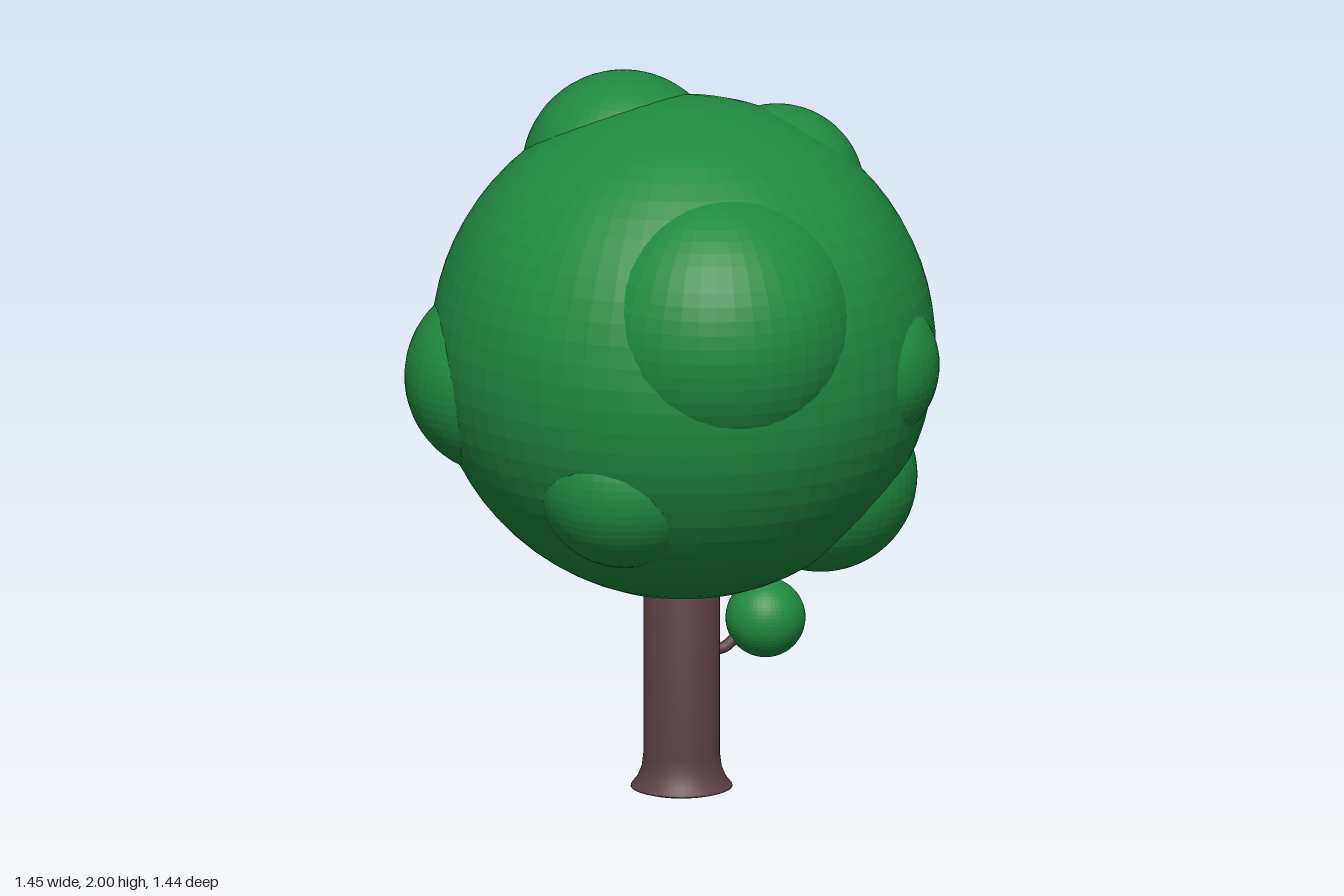
import * as THREE from 'three';

const leafMat = new THREE.MeshStandardMaterial({ color: 0x1f8a40, flatShading: true, side: THREE.DoubleSide });
const barkMat = new THREE.MeshStandardMaterial({ color: 0x5c4246, side: THREE.DoubleSide });

function add(group, name, geometry, material, x = 0, y = 0, z = 0) {
  const mesh = new THREE.Mesh(geometry, material);
  mesh.name = name;
  mesh.position.set(x, y, z);
  group.add(mesh);
  return mesh;
}

export function createModel() {
  const tree = new THREE.Group();
  tree.name = 'tree';

  // Trunk with a flared foot, running up into the crown
  const profile = [
    [0, 0.005], [0.125, 0.01], [0.14, 0.015], [0.138, 0.02], [0.122, 0.04],
    [0.11, 0.07], [0.105, 0.11], [0.105, 0.75], [0, 0.75],
  ].map(([r, y]) => new THREE.Vector2(r, y));
  add(tree, 'trunk', new THREE.LatheGeometry(profile, 48), barkMat, 0.025, 0, -0.022);

  // Crown: large ball, open underneath around the trunk
  const R = 0.695, cy = 1.26;
  const openAngle = Math.acos((0.6 - cy) / R);
  add(tree, 'crown', new THREE.SphereGeometry(R, 64, 32, 0, Math.PI * 2, 0, openAngle),
    leafMat, 0.03, cy, -0.025);

  // Leaf clumps bulging out of the crown: x, y, z, radius
  const clumps = [
    ['frontClump', 0.02, 1.40, 0.317, 0.402],
    ['topClump', -0.087, 1.72, -0.21, 0.28],
    ['upperLeftClump', 0.31, 1.672, -0.062, 0.241],
    ['rightClump', -0.456, 1.19, -0.115, 0.274],
    ['lowerFrontClump', -0.233, 0.992, 0.311, 0.248],
    ['lowerLeftClump', 0.383, 0.905, 0.115, 0.266],
    ['frontLeftClump', 0.437, 1.252, 0.266, 0.233],
    ['backLeftClump', 0.35, 1.325, -0.255, 0.346],
    ['lowerBackClump', -0.24, 1.04, -0.475, 0.228],
  ];
  for (const [name, x, y, z, r] of clumps) {
    add(tree, name, new THREE.SphereGeometry(r, 48, 32), leafMat, x, y, z);
  }

  // Twig with its own small ball of leaves
  const twig = new THREE.CatmullRomCurve3([
    new THREE.Vector3(0.1, 0.395, -0.022),
    new THREE.Vector3(0.145, 0.398, -0.022),
    new THREE.Vector3(0.175, 0.42, -0.022),
    new THREE.Vector3(0.25, 0.465, -0.022),
  ]);
  add(tree, 'twig', new THREE.TubeGeometry(twig, 16, 0.016, 12), barkMat);
  add(tree, 'twigLeaves', new THREE.SphereGeometry(0.11, 48, 32), leafMat, 0.265, 0.475, -0.022);

  return tree;
}
